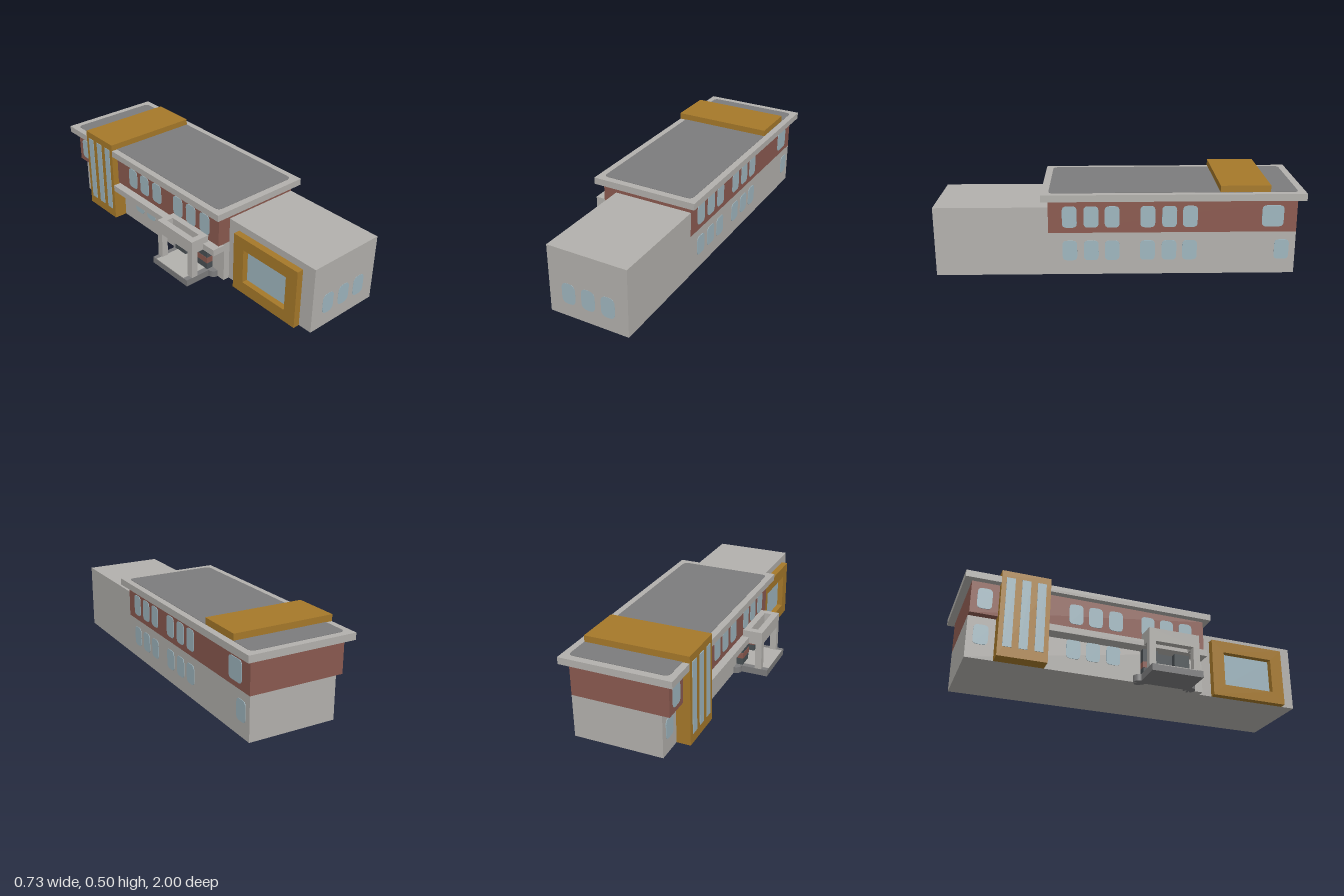
import * as THREE from 'three';

const mat = (name, color) => {
  const m = new THREE.MeshStandardMaterial({ color });
  m.name = name;
  return m;
};

// Rectangle outline with rounded corners
function roundedRect(Type, x0, x1, y0, y1, r) {
  const s = new Type();
  s.moveTo(x0 + r, y0);
  s.lineTo(x1 - r, y0).quadraticCurveTo(x1, y0, x1, y0 + r);
  s.lineTo(x1, y1 - r).quadraticCurveTo(x1, y1, x1 - r, y1);
  s.lineTo(x0 + r, y1).quadraticCurveTo(x0, y1, x0, y1 - r);
  s.lineTo(x0, y0 + r).quadraticCurveTo(x0, y0, x0 + r, y0);
  return s;
}

function rect(Type, x0, x1, y0, y1) {
  return new Type([[x0, y0], [x1, y0], [x1, y1], [x0, y1]].map(p => new THREE.Vector2(...p)));
}

export function createModel() {
  const model = new THREE.Group();
  model.name = 'building';

  const concrete = mat('concrete', 0xb3b1ad);
  const brick = mat('brick', 0x8b5a50);
  const gold = mat('gold cladding', 0xa6792a);
  const roofing = mat('dark roofing', 0x7c7c7d);
  const glass = mat('window glass', 0x9fb6bf);
  const slate = mat('dark glazing', 0x495054);

  const add = (name, geometry, material) => {
    const mesh = new THREE.Mesh(geometry, material);
    mesh.name = name;
    model.add(mesh);
    return mesh;
  };
  // Box given by its limits on each axis
  const box = (name, material, [x0, x1], [y0, y1], [z0, z1]) => {
    const mesh = add(name, new THREE.BoxGeometry(x1 - x0, y1 - y0, z1 - z0), material);
    mesh.position.set((x0 + x1) / 2, (y0 + y1) / 2, (z0 + z1) / 2);
    return mesh;
  };
  // Thin pane with rounded corners on a wall facing +x (side 1) or -x (side -1)
  const plate = (shape) => new THREE.ExtrudeGeometry(shape, { depth: 0.003, bevelEnabled: false, curveSegments: 4 });
  const sideWindow = (name, side, x, [z0, z1], [y0, y1], r = 0.025) => {
    const w = (z1 - z0) / 2;
    const mesh = add(name, plate(roundedRect(THREE.Shape, -w, w, y0, y1, r)), glass);
    mesh.rotation.y = side * Math.PI / 2;
    mesh.position.set(x, 0, (z0 + z1) / 2);
  };

  // Main volumes; the brick floor overhangs the entrance side
  box('lowerFloor', concrete, [-0.173, 0.325], [0, 0.24], [-0.96, 0.385]);
  box('upperFloor', brick, [-0.213, 0.325], [0.24, 0.425], [-0.96, 0.385]);
  box('frontHall', concrete, [-0.135, 0.325], [0, 0.385], [0.385, 1]);

  // Roof slab with dark inset surface
  box('roofSlab', concrete, [-0.25, 0.362], [0.425, 0.463], [-1, 0.42]);
  const inset = add('roofSurface', plate(roundedRect(THREE.Shape, -0.213, 0.325, -0.38, 0.96, 0.03)), roofing);
  inset.rotation.x = -Math.PI / 2;
  inset.position.y = 0.462;

  // Gold band folding over the roof and down the entrance side
  box('bandTop', gold, [-0.251, 0.325], [0.463, 0.5], [-0.81, -0.54]);
  box('bandSide', gold, [-0.251, -0.173], [0, 0.463], [-0.81, -0.54]);
  for (const z of [-0.76, -0.675, -0.59]) {
    box('bandWindow', glass, [-0.254, -0.25], [0.055, 0.46], [z - 0.024, z + 0.024]);
  }

  // Gold picture frame around the large hall window
  const frame = rect(THREE.Shape, 0.46, 0.92, 0, 0.345);
  frame.holes.push(rect(THREE.Path, 0.535, 0.845, 0.07, 0.275));
  const frameMesh = add('hallWindowFrame',
    new THREE.ExtrudeGeometry(frame, { depth: 0.038, bevelEnabled: false }), gold);
  frameMesh.rotation.y = -Math.PI / 2;
  frameMesh.position.x = -0.135;
  box('hallWindow', glass, [-0.139, -0.135], [0.07, 0.275], [0.535, 0.845]);

  // Windows on both long sides
  const rows = [[0.23, 0.31], [0.113, 0.194], [0, 0.08], [-0.193, -0.112], [-0.31, -0.23], [-0.422, -0.342]];
  const upper = [0.27, 0.39], lower = [0.082, 0.195], end = [-0.925, -0.845];
  for (const z of rows) {
    sideWindow('upperWindowLeft', 1, 0.325, z, upper);
    sideWindow('lowerWindowLeft', 1, 0.325, z, lower);
    sideWindow('upperWindowRight', -1, -0.213, z, upper);
    if (z[1] < 0) sideWindow('lowerWindowRight', -1, -0.173, z, lower);
  }
  sideWindow('endUpperWindowLeft', 1, 0.325, [-0.888, -0.77], upper);
  sideWindow('endLowerWindowLeft', 1, 0.325, end, lower);
  sideWindow('endUpperWindowRight', -1, -0.213, end, upper);
  sideWindow('endLowerWindowRight', -1, -0.173, end, lower);

  // Front windows
  for (const x of [-0.02, 0.095, 0.21]) {
    const mesh = add('frontWindow', plate(roundedRect(THREE.Shape, -0.04, 0.04, 0.075, 0.195, 0.035)), glass);
    mesh.position.set(x, 0, 0.998);
  }

  // Ledge below the overhang
  box('ledge', concrete, [-0.25, -0.173], [0.192, 0.23], [-0.54, 0.385]);

  // Entrance platform with pale paving and rounded ends at the wall
  box('platform', roofing, [-0.365, -0.173], [0, 0.039], [0, 0.3]);
  box('paving', concrete, [-0.365, -0.173], [0.037, 0.041], [0.03, 0.27]);
  for (const z of [0, 0.3]) {
    const pad = add('platformEnd', new THREE.CylinderGeometry(0.035, 0.035, 0.038, 16), roofing);
    pad.position.set(-0.175, 0.019, z);
  }

  // Open canopy ring on two posts
  const ring = rect(THREE.Shape, -0.328, -0.213, -0.3, 0);
  ring.holes.push(rect(THREE.Path, -0.29, -0.25, -0.265, -0.038));
  const canopy = add('canopy', new THREE.ExtrudeGeometry(ring, { depth: 0.077, bevelEnabled: false }), concrete);
  canopy.rotation.x = -Math.PI / 2;
  canopy.position.y = 0.193;
  for (const z of [0, 0.262]) {
    box('canopyPost', concrete, [-0.328, -0.29], [0.039, 0.193], [z, z + 0.038]);
  }

  // Dark glazed bays beside the door, each with a brick band
  for (const z of [0.01, 0.2]) {
    box('entranceBay', slate, [-0.212, -0.173], [0.039, 0.192], [z, z + 0.09]);
    box('entranceBand', brick, [-0.214, -0.173], [0.08, 0.115], [z - 0.002, z + 0.092]);
  }
  box('door', slate, [-0.177, -0.173], [0.039, 0.192], [0.1, 0.2]);

  return model;
}
